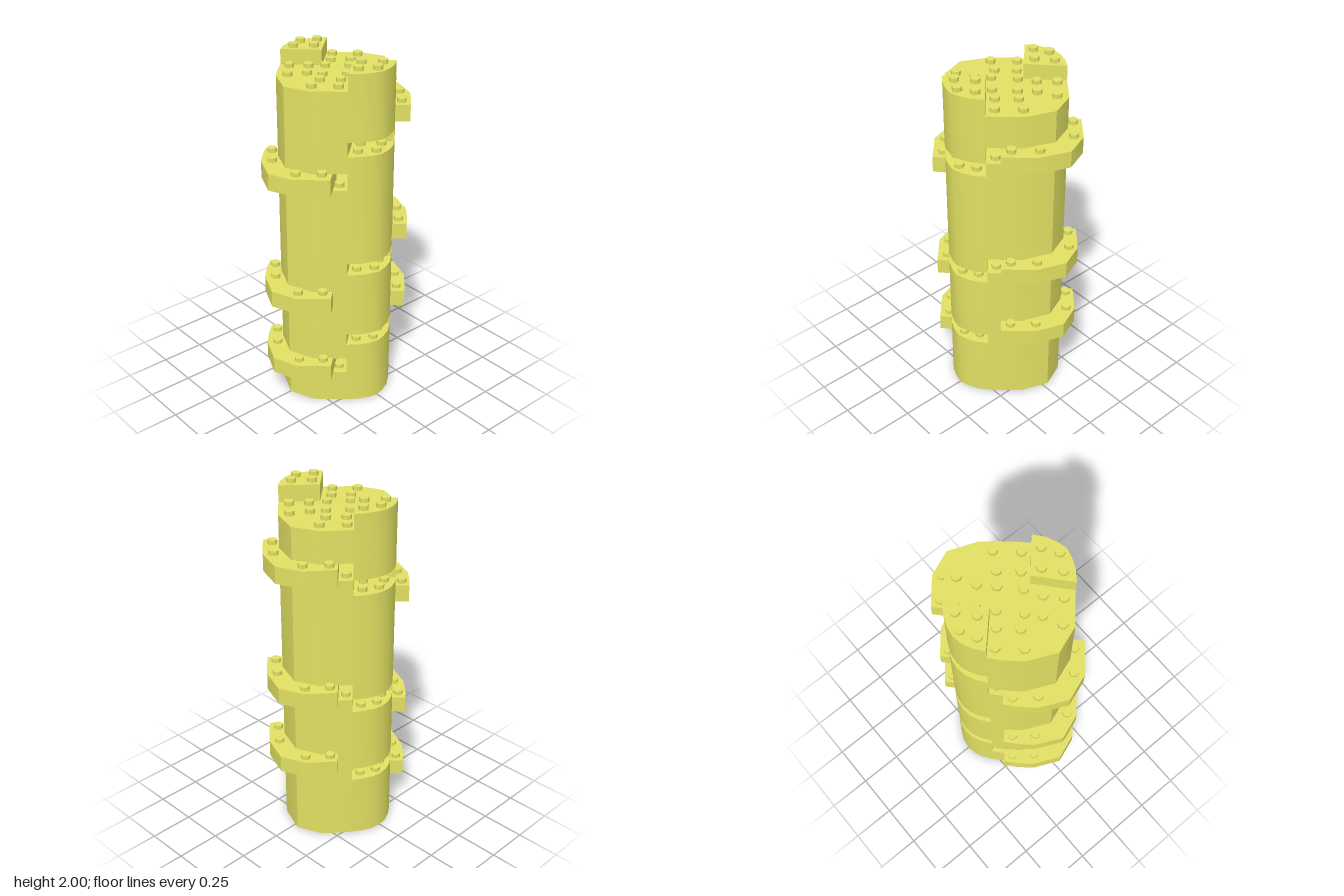
import * as THREE from 'three';
import { toCreasedNormals } from 'three/addons/utils/BufferGeometryUtils.js';

const material = new THREE.MeshStandardMaterial({ color: 0xe0df62 });

// Outlines as [x, z], each quarter brick ending where the side wedges begin
const frontArc = [[-0.282, 0.16], [-0.225, 0.225], [-0.155, 0.29], [0, 0.362], [0.145, 0.31], [0.215, 0.23], [0.272, 0.168]];
const backArc = [[0.27, -0.165], [0.215, -0.22], [0.13, -0.295], [-0.03, -0.357], [-0.17, -0.3], [-0.235, -0.225], [-0.284, -0.166]];
const frontQuarter = [...frontArc, [0.125, 0], [0.09, 0.06], [0, 0.15], [-0.09, 0.06], [-0.13, 0]];
const backQuarter = [...backArc, [-0.13, 0], [-0.09, -0.06], [0, -0.15], [0.09, -0.06], [0.125, 0]];
const wholeCore = [...frontArc, [0.125, 0], ...backArc, [-0.13, 0]];
const rightWedge = [[0.125, 0], [0.272, 0.168], [0.315, 0.11], [0.34, 0.055], [0.353, 0], [0.34, -0.055], [0.315, -0.11], [0.27, -0.165]];
const leftWedge = [[-0.13, 0], [-0.284, -0.166], [-0.32, -0.11], [-0.345, -0.055], [-0.353, 0], [-0.345, 0.055], [-0.32, 0.11], [-0.282, 0.16]];

// Upright prism from an outline, between heights y0 and y1
function prism(group, name, outline, y0, y1, dz = 0) {
  const shape = new THREE.Shape(outline.map(([x, z]) => new THREE.Vector2(x, -z)));
  const extruded = new THREE.ExtrudeGeometry(shape, { depth: y1 - y0, bevelEnabled: false });
  extruded.rotateX(-Math.PI / 2);
  const mesh = new THREE.Mesh(toCreasedNormals(extruded, 0.7), material);
  mesh.position.set(0, y0, dz);
  mesh.name = name;
  group.add(mesh);
}

// Short eight-sided studs standing on height y
const studGeometry = toCreasedNormals(new THREE.CylinderGeometry(0.026, 0.026, 0.025, 8), 0.5);
function studs(group, places, y) {
  for (const [x, z] of places) {
    const stud = new THREE.Mesh(studGeometry, material);
    stud.position.set(x, y + 0.0115, z);
    stud.name = 'stud';
    group.add(stud);
  }
}

export function createModel() {
  const model = new THREE.Group();
  model.name = 'studdedColumn';
  const top = 1.885, cap = 1.79, shift = 0.115, layer = 0.095;

  // Front and back halves: plain wall, broken by layers pushed outward as ledges
  const halves = [
    { name: 'front', side: 1, outline: frontQuarter, ledges: [[0.19, true], [0.63, false], [1.34, true]],
      spots: [[-0.22, 0.28], [-0.115, 0.36], [0.11, 0.38], [0.2, 0.28]] },
    { name: 'back', side: -1, outline: backQuarter, ledges: [[0.46, false], [0.9, true], [1.61, true]],
      spots: [[-0.225, -0.28], [-0.135, -0.38], [0.09, -0.37], [0.2, -0.28]] },
  ];
  for (const { name, side, outline, ledges, spots } of halves) {
    const half = new THREE.Group();
    half.name = name + 'Half';
    let y = 0;
    for (const [ledgeY, notched] of ledges) {
      prism(half, name + 'Wall', outline, y, ledgeY);
      prism(half, name + 'Ledge', outline, ledgeY, ledgeY + layer, side * shift);
      studs(half, spots, ledgeY + layer);
      // Pushed-out layers leave notches at their ends with a stud in each
      if (notched) studs(half, [[-0.222, side * 0.155], [0.2, side * 0.16]], ledgeY);
      y = notched ? ledgeY + layer : ledgeY;
    }
    prism(half, name + 'Wall', outline, y, cap);
    model.add(half);
  }

  // Solid cap over the hollow core
  const capGroup = new THREE.Group();
  capGroup.name = 'cap';
  prism(capGroup, 'capPlate', wholeCore, cap, top);
  studs(capGroup, [
    [-0.225, -0.155], [-0.08, -0.16], [0.04, -0.155], [0.2, -0.155], [-0.13, -0.255], [0.095, -0.25],
    [-0.15, -0.08], [0.13, -0.075], [-0.01, -0.09], [-0.095, 0.005], [0.08, 0.005],
    [-0.15, 0.075], [0.13, 0.09], [0, 0.105], [-0.22, 0.15], [-0.065, 0.155], [0.06, 0.17],
    [0.2, 0.165], [-0.115, 0.245], [0.105, 0.265],
  ], top);
  model.add(capGroup);

  // Side wedges in four stacked lengths, with open gaps between
  const spans = [[0, 0.378], [0.445, 0.83], [0.9, 1.53], [1.61, 1.977]];
  const wedges = [
    { name: 'left', outline: rightWedge, drop: 0, spots: [[0.26, -0.08], [0.31, 0], [0.19, 0.005], [0.26, 0.085]] },
    { name: 'right', outline: leftWedge, drop: 0.008, spots: [[-0.27, -0.085], [-0.31, 0], [-0.2, -0.005], [-0.27, 0.08]] },
  ];
  for (const { name, outline, drop, spots } of wedges) {
    const stack = new THREE.Group();
    stack.name = name + 'Wedges';
    for (const [y0, y1] of spans) {
      prism(stack, name + 'Wedge', outline, y0, y1 - drop);
      studs(stack, spots, y1 - drop);
    }
    model.add(stack);
  }
  return model;
}
